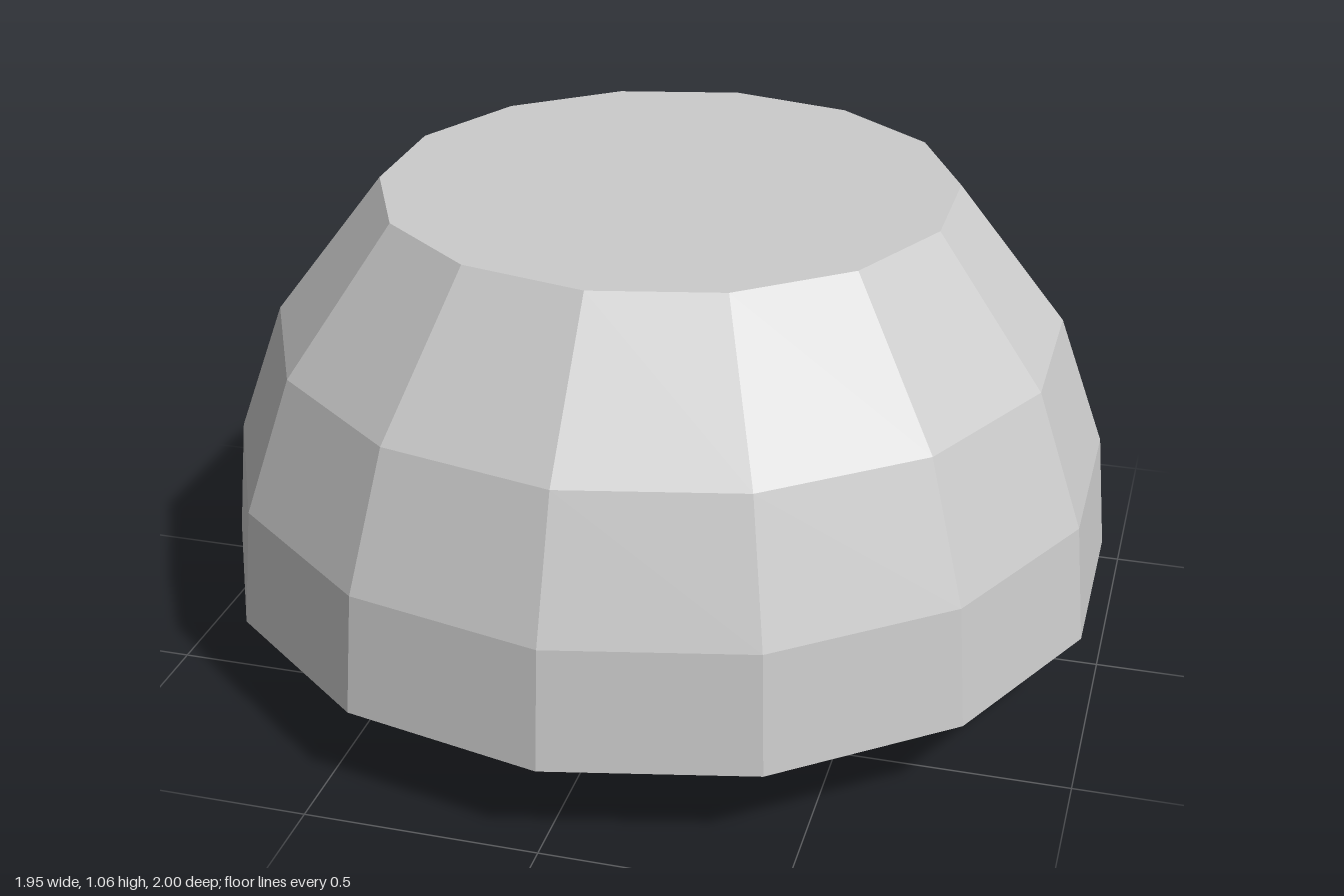
import * as THREE from 'three';

const SIDES = 14;

export function createModel() {
  const group = new THREE.Group();
  const grey = new THREE.MeshStandardMaterial({ color: 0xcccccc, flatShading: true, side: THREE.DoubleSide });
  grey.name = 'light grey';

  const add = (name, geometry, parent = group, x = 0, y = 0, z = 0) => {
    const mesh = new THREE.Mesh(geometry, grey);
    mesh.name = name;
    mesh.position.set(x, y, z);
    parent.add(mesh);
    return mesh;
  };
  const sheet = (w, d) => new THREE.PlaneGeometry(w, d).rotateX(Math.PI / 2);

  // Open-bottomed, flat-topped faceted shell from [radius, height] pairs
  const shell = (profile) => new THREE.LatheGeometry(
    profile.map(([r, h]) => new THREE.Vector2(r, h)), SIDES);

  add('outerDome', shell([[1, 0.195], [0.975, 0.457], [0.87, 0.75], [0.63, 1.063], [0, 1.063]]));
  add('innerDome', shell([[0.757, 0.08], [0.757, 0.2], [0.738, 0.39], [0.66, 0.61], [0.477, 0.85], [0, 0.85]]));

  // Flat rectangular plate with a thin frame, hung inside the inner dome
  const rect = (Type, p, q) => new Type([[-p, -q], [p, -q], [p, q], [-p, q]]
    .map(([x, y]) => new THREE.Vector2(x, y)));
  const outline = rect(THREE.Shape, 0.19, 0.33);
  outline.holes.push(rect(THREE.Path, 0.17, 0.31));
  const frame = new THREE.ExtrudeGeometry(outline, { depth: 0.006, bevelEnabled: false }).rotateX(Math.PI / 2);

  const plate = new THREE.Group();
  plate.name = 'innerPlate';
  plate.position.y = 0.5;
  group.add(plate);
  add('plateBoard', sheet(0.45, 0.74), plate);
  add('plateFrame', frame, plate);
  // Second board, turned a little, lying on the first
  add('plateTurnedBoard', sheet(0.48, 0.57), plate, 0, 0.006, 0).rotation.y = 0.35;

  // Pendant: oval rimmed disc standing upright through a small flat plate
  const pendant = new THREE.Group();
  pendant.name = 'pendant';
  pendant.position.y = 0.13;
  group.add(pendant);
  add('pendantRim', new THREE.TorusGeometry(0.1, 0.031, 6, 10).scale(0.62, 1.04, 1), pendant);
  add('pendantFace', new THREE.CircleGeometry(0.1, 10).scale(0.62, 1.04, 1), pendant);
  add('pendantPlate', sheet(0.18, 0.18), pendant);

  // Small fitting set into the inner shell's wall
  const fitting = new THREE.Group();
  fitting.name = 'sideFitting';
  fitting.position.set(0.585, 0.193, -0.51);
  group.add(fitting);
  add('fittingPlate', sheet(0.18, 0.18), fitting);
  add('fittingTip', new THREE.CylinderGeometry(0.045, 0.015, 0.028, 6), fitting, 0, -0.014, 0);
  add('fittingStem', new THREE.CylinderGeometry(0.015, 0.015, 0.05, 6), fitting, 0, 0.025, 0);

  return group;
}
